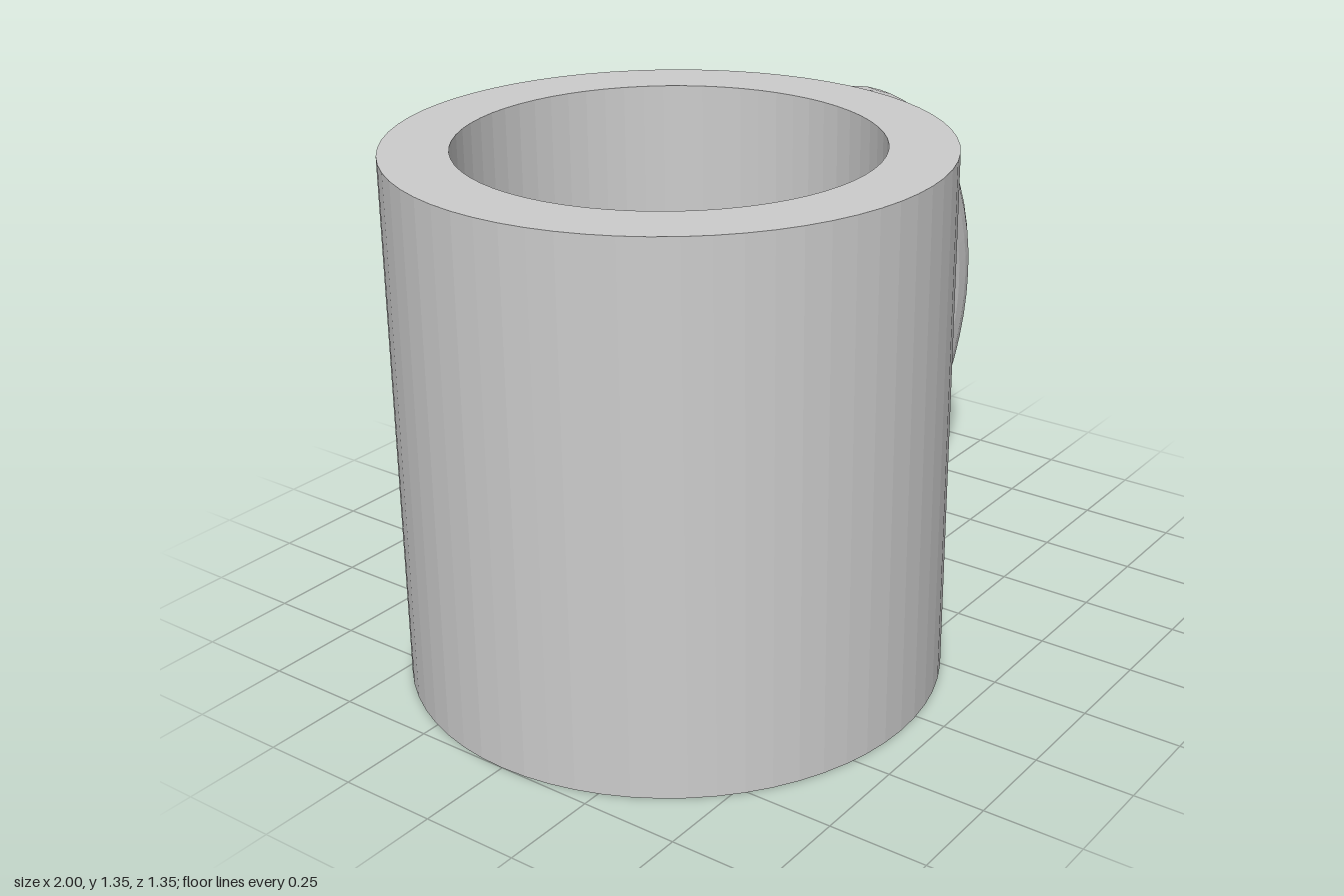
import * as THREE from 'three';

export function createModel() {
  const mug = new THREE.Group();
  mug.name = 'mug';
  const grey = new THREE.MeshStandardMaterial({ color: 0xcccccc, flatShading: true });
  grey.name = 'light grey';

  const outer = 0.675, inner = 0.51, height = 1.35, floor = 0.165;

  // Hollow body: base, outer wall, rim, inner wall, inner floor
  const profile = [
    [0, 0], [outer, 0], [outer, height], [inner, height], [inner, floor], [0, floor],
  ].map(([x, y]) => new THREE.Vector2(x, y));
  const body = new THREE.Mesh(new THREE.LatheGeometry(profile, 64), grey);
  body.name = 'body';
  body.position.x = -0.325;
  mug.add(body);

  // Handle: slightly flattened ring arc whose ends sink into the wall
  const arc = THREE.MathUtils.degToRad(200);
  const ring = new THREE.TorusGeometry(0.4825, 0.161, 24, 30, arc);
  ring.rotateZ(-arc / 2);
  ring.scale(1.02, 0.99, 0.825);
  const handle = new THREE.Mesh(ring, grey);
  handle.name = 'handle';
  handle.position.set(0.343, 0.688, 0);
  mug.add(handle);

  return mug;
}
